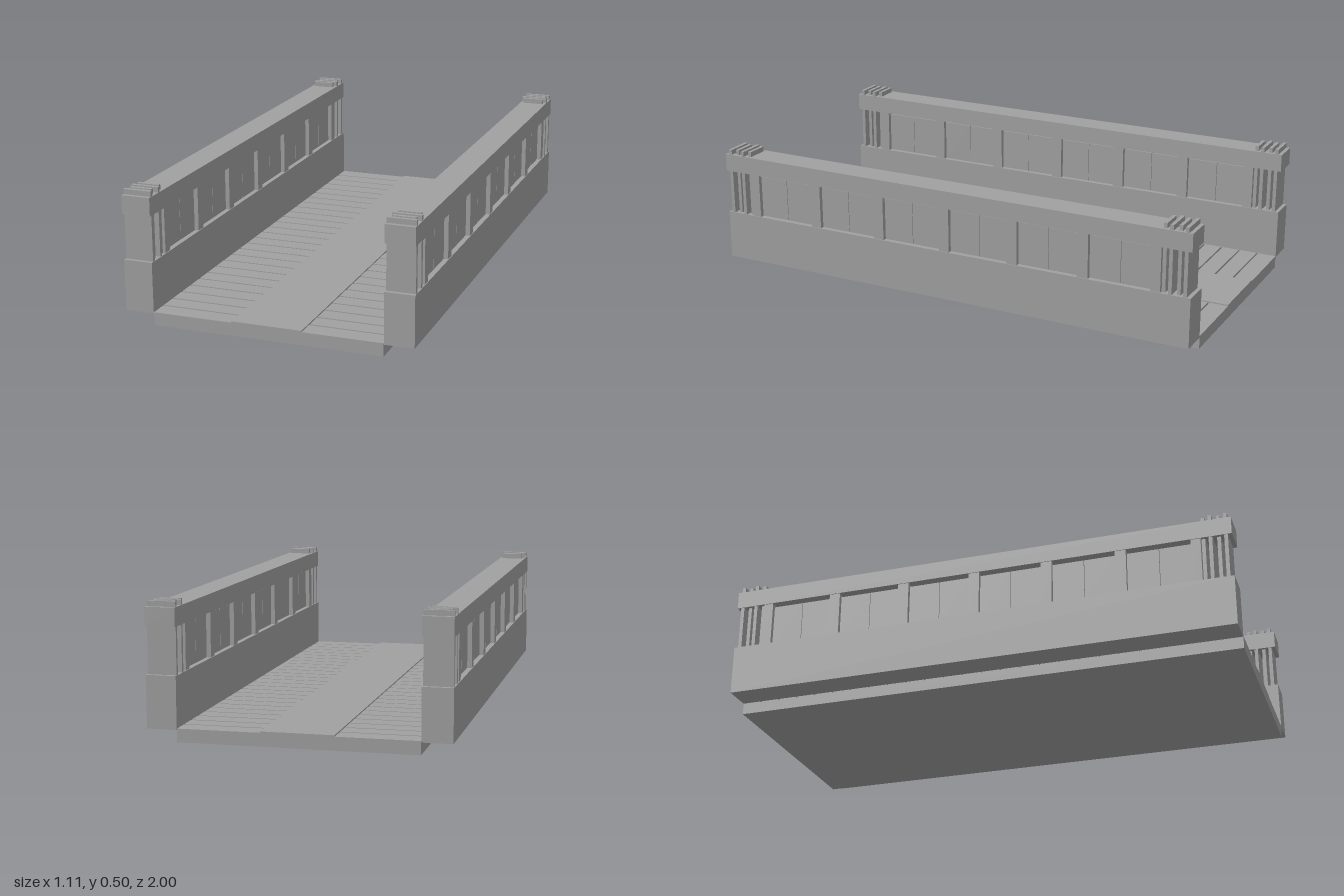
import * as THREE from 'three';

export function createModel() {
  const model = new THREE.Group();
  model.name = 'bridge';
  const stone = new THREE.MeshStandardMaterial({ color: 0xa0a0a0 });
  stone.name = 'grey stone';

  // Box given by its limits on each axis
  const box = (parent, name, x0, x1, y0, y1, z0, z1) => {
    const mesh = new THREE.Mesh(new THREE.BoxGeometry(x1 - x0, y1 - y0, z1 - z0), stone);
    mesh.position.set((x0 + x1) / 2, (y0 + y1) / 2, (z0 + z1) / 2);
    mesh.name = name;
    parent.add(mesh);
  };

  // Deck: slab, planks with narrow grooves, raised central walkway
  const deck = new THREE.Group();
  deck.name = 'deck';
  model.add(deck);
  box(deck, 'deckSlab', -0.443, 0.443, 0, 0.042, -1, 1);
  const planks = 26, pitch = 2 / planks, groove = 0.004;
  for (let i = 0; i < planks; i++) {
    const z = -1 + i * pitch;
    box(deck, 'plank', -0.443, 0.443, 0.042, 0.05,
      i === 0 ? z : z + groove, i === planks - 1 ? z + pitch : z + pitch - groove);
  }
  box(deck, 'walkway', -0.136, 0.136, 0.042, 0.055, -1, 1);

  // Parapets, one on each side
  for (const side of [-1, 1]) {
    const parapet = new THREE.Group();
    parapet.name = side > 0 ? 'leftParapet' : 'rightParapet';
    parapet.position.x = side * 0.5;
    model.add(parapet);
    box(parapet, 'parapetBase', -0.056, 0.056, 0.045, 0.24, -1, 1);
    box(parapet, 'topRail', -0.056, 0.056, 0.415, 0.485, -1, 1);

    // Six bays of paired recessed panels
    for (let i = 0; i < 6; i++) {
      const z = (i - 2.5) * 0.289;
      box(parapet, 'panel', -0.036, 0.036, 0.24, 0.406, z - 0.123, z - 0.001);
      box(parapet, 'panel', -0.036, 0.036, 0.24, 0.406, z + 0.001, z + 0.123);
    }
    // Pillars between the bays
    for (let i = -2; i <= 2; i++) {
      box(parapet, 'pillar', -0.053, 0.053, 0.24, 0.415, i * 0.289 - 0.0215, i * 0.289 + 0.0215);
    }
    for (const end of [-1, 1]) {
      box(parapet, 'endPillar', -0.053, 0.053, 0.24, 0.415, end * 0.864 - 0.019, end * 0.864 + 0.019);
      // Upright slats rising through the rail, alternately wide and narrow
      [0.978, 0.95, 0.92, 0.892].forEach((z, i) => {
        const w = i % 2 ? 0.043 : 0.054;
        box(parapet, 'endSlat', -w, w, 0.24, 0.505, end * z - 0.007, end * z + 0.007);
      });
    }
  }
  return model;
}
